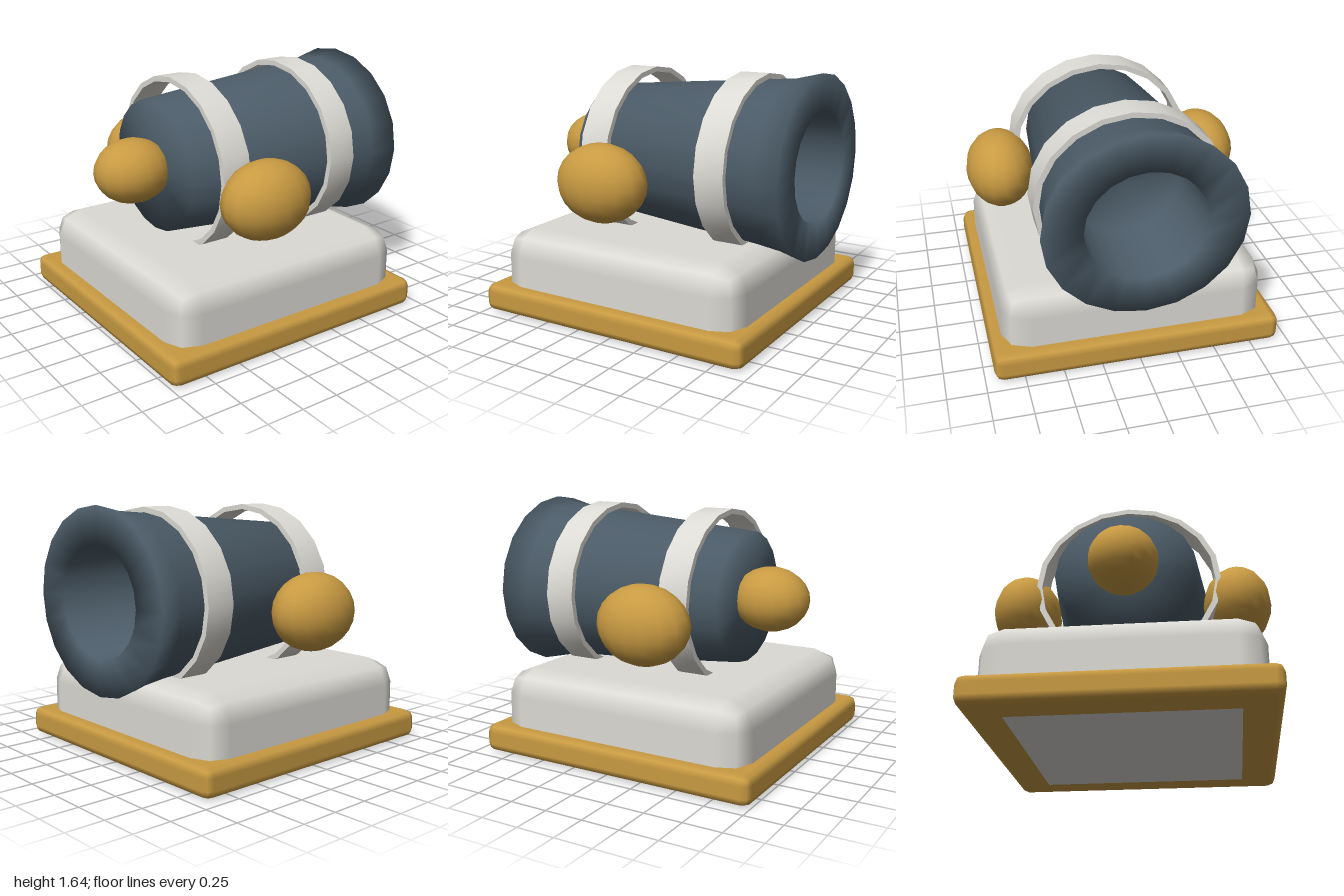
import * as THREE from 'three';
import { RoundedBoxGeometry } from 'three/addons/geometries/RoundedBoxGeometry.js';
import { toCreasedNormals } from 'three/addons/utils/BufferGeometryUtils.js';

const AXIS_Y = 1.04; // height of the barrel axis
const OVAL = 0.93; // barrel and bands are slightly flattened

export function createModel() {
  const group = new THREE.Group();
  const gold = new THREE.MeshStandardMaterial({ name: 'gold', color: 0xc89a42 });
  const ivory = new THREE.MeshStandardMaterial({ name: 'ivory', color: 0xdcdad4 });
  const steel = new THREE.MeshStandardMaterial({ name: 'blueSteel', color: 0x4b5b67 });

  function add(name, geometry, material, x, y, z) {
    const mesh = new THREE.Mesh(geometry, material);
    mesh.name = name;
    mesh.position.set(x, y, z);
    group.add(mesh);
    return mesh;
  }

  // Box with chamfered, smoothly shaded edges, given by its extents
  function slab(name, material, w, y0, y1, z0, z1, r) {
    const geometry = new RoundedBoxGeometry(w, y1 - y0, z1 - z0, 1, r);
    add(name, geometry, material, 0, (y0 + y1) / 2, (z0 + z1) / 2);
  }

  // Lathe turned to lie along z; profile pairs are [radius, z]
  function turned(profile) {
    const points = profile.map(([r, z]) => new THREE.Vector2(r, -z));
    return new THREE.LatheGeometry(points, 20).rotateX(-Math.PI / 2).scale(1, OVAL, 1);
  }

  function ball(name, x, y, z, rx, ry, rz) {
    add(name, new THREE.SphereGeometry(1, 16, 12).scale(rx, ry, rz), gold, x, y, z);
  }

  // Base: the pedestal reaches down through the plinth
  slab('plinth', gold, 1.88, 0.002, 0.19, -0.94, 1, 0.055);
  slab('pedestal', ivory, 1.73, 0, 0.565, -0.86, 0.915, 0.17);

  // Barrel with flared muzzle at the back and a hollow bore
  add('barrel', turned([
    [0, 0.54], [0.465, 0.54], [0.595, -0.83], [0.64, -1],
    [0.385, -1], [0.36, -0.45], [0, -0.45],
  ]), steel, 0, AXIS_Y, 0);

  // Retaining bands
  for (const [name, z, r] of [['frontBand', 0.31, 0.612], ['rearBand', -0.54, 0.618]]) {
    const h = 0.1;
    const ring = turned([[r - 0.037, h], [r, h], [r, -h], [r - 0.037, -h], [r - 0.037, h]]);
    add(name, toCreasedNormals(ring, 0.6), ivory, 0, AXIS_Y, z);
  }

  // Breech knob and side knobs
  ball('breechKnob', 0, AXIS_Y, 0.7, 0.225, 0.21, 0.255);
  for (const [name, side] of [['leftKnob', 1], ['rightKnob', -1]]) {
    ball(name, side * 0.712, 0.945, 0.17, 0.226, 0.255, 0.312);
  }

  return group;
}
